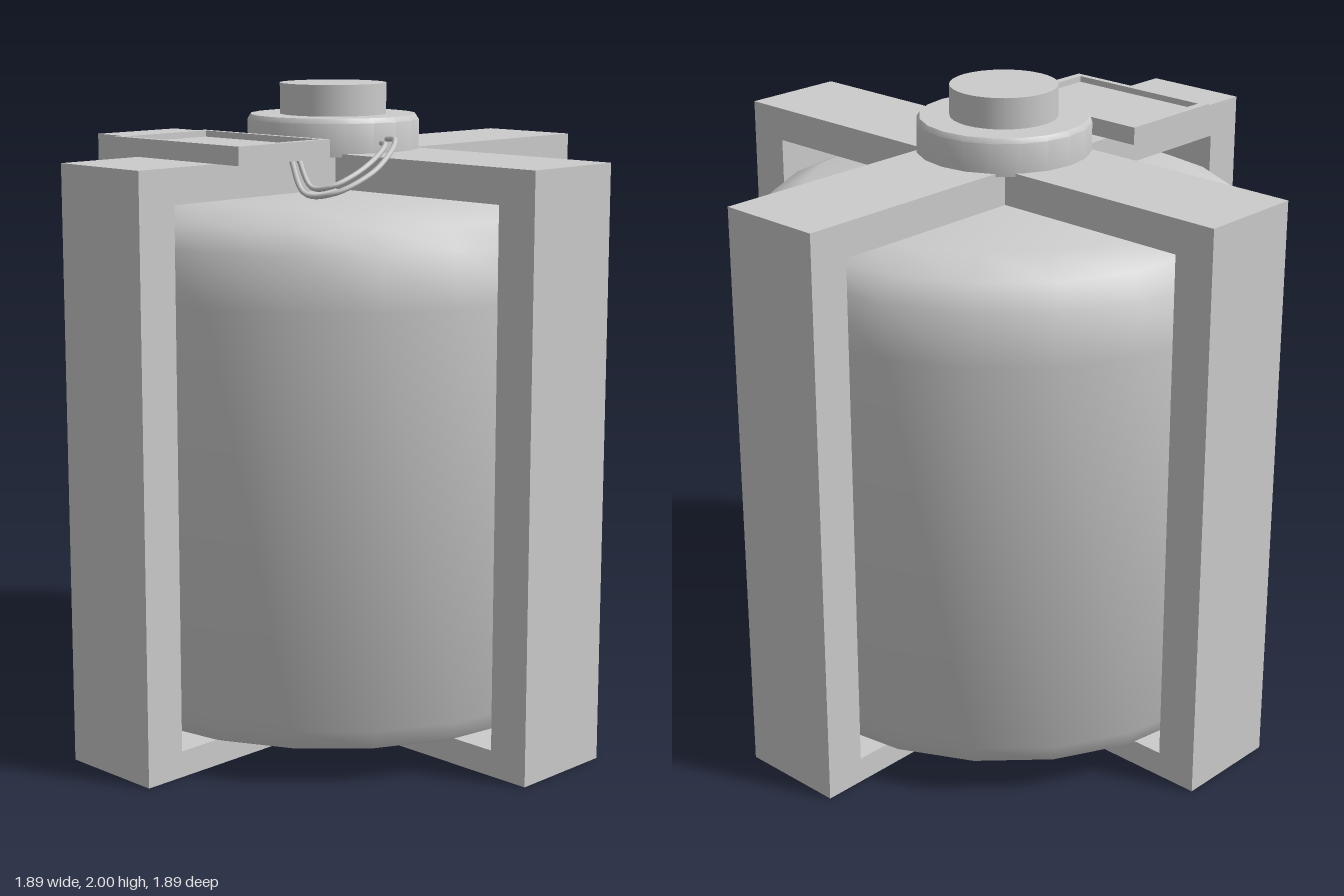
import * as THREE from 'three';
import { toCreasedNormals } from 'three/addons/utils/BufferGeometryUtils.js';

const material = new THREE.MeshStandardMaterial({ color: 0xcccccc });

function add(parent, name, geometry, x = 0, y = 0, z = 0) {
  const mesh = new THREE.Mesh(geometry, material);
  mesh.name = name;
  mesh.position.set(x, y, z);
  parent.add(mesh);
  return mesh;
}

function rectangle(target, x0, y0, x1, y1) {
  target.moveTo(x0, y0);
  target.lineTo(x1, y0);
  target.lineTo(x1, y1);
  target.lineTo(x0, y1);
  target.closePath();
  return target;
}

// Rectangular ring with thickness along z
function ringGeometry(outer, inner, depth) {
  const shape = rectangle(new THREE.Shape(), ...outer);
  shape.holes.push(rectangle(new THREE.Path(), ...inner));
  return new THREE.ExtrudeGeometry(shape, { depth, bevelEnabled: false });
}

function lathe(points, sides, crease) {
  const profile = points.map(([r, y]) => new THREE.Vector2(r, y));
  return toCreasedNormals(new THREE.LatheGeometry(profile, sides), crease);
}

export function createModel() {
  const model = new THREE.Group();
  model.name = 'framedTank';

  // Two crossing rectangular frames
  const frame = ringGeometry([-0.945, 0, 0.945, 1.8], [-0.815, 0.08, 0.815, 1.695], 0.34);
  frame.translate(0, 0, -0.17);
  add(model, 'sideFrame', frame);
  add(model, 'frontBackFrame', frame).rotation.y = Math.PI / 2;

  // Twenty-sided tank with rounded shoulders
  add(model, 'tank', lathe([
    [0, 0.09], [0.72, 0.09], [0.77, 0.11], [0.8, 0.17], [0.8, 1.4],
    [0.787, 1.56], [0.73, 1.63], [0.62, 1.68], [0, 1.68],
  ], 20, 0.7), -0.01);

  // Stepped cap
  add(model, 'capFlange', lathe([
    [0, 1.79], [0.268, 1.79], [0.268, 1.89], [0.258, 1.905], [0, 1.905],
  ], 20, 0.6), -0.007);
  add(model, 'capKnob', new THREE.CylinderGeometry(0.165, 0.165, 0.11, 32), -0.007, 1.945);

  // Shallow tray-like control panel
  const panel = new THREE.Group();
  panel.name = 'controlPanel';
  panel.position.set(-0.007, 1.8, 0.473);
  model.add(panel);
  const rim = ringGeometry([-0.272, -0.183, 0.272, 0.183], [-0.245, -0.162, 0.245, 0.162], 0.055);
  add(panel, 'panelRim', rim.rotateX(-Math.PI / 2));
  add(panel, 'panelPlate', new THREE.BoxGeometry(0.5, 0.035, 0.334), 0, 0.0185, 0);

  // Cables looping from cap to panel
  const cables = [
    [[0.24, 1.84, 0.03], [0.32, 1.845, 0.07], [0.39, 1.81, 0.17], [0.41, 1.76, 0.27],
      [0.37, 1.71, 0.38], [0.27, 1.705, 0.4], [0.2, 1.81, 0.39]],
    [[0.24, 1.83, 0.05], [0.3, 1.83, 0.09], [0.35, 1.795, 0.19], [0.355, 1.755, 0.28],
      [0.33, 1.725, 0.35], [0.27, 1.72, 0.37], [0.21, 1.81, 0.37]],
  ];
  for (const points of cables) {
    const path = new THREE.CatmullRomCurve3(points.map((p) => new THREE.Vector3(...p)));
    add(model, 'cable', new THREE.TubeGeometry(path, 40, 0.008, 8));
  }

  return model;
}
